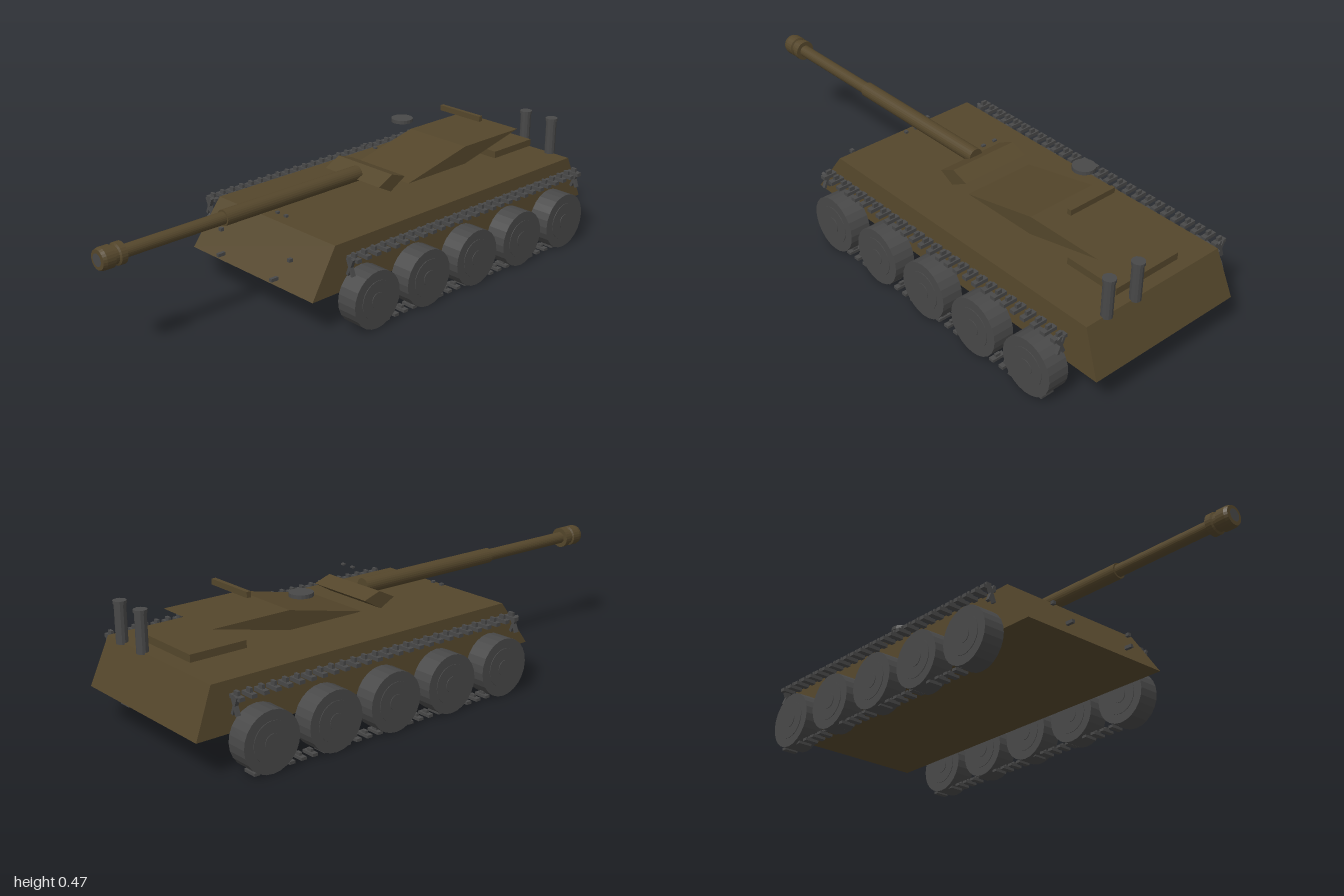
import * as THREE from 'three';

export function createModel() {
  const model = new THREE.Group();
  const paint = new THREE.MeshStandardMaterial({ color: 0x54462b, flatShading: true });
  paint.name = 'olive brown paint';
  const steel = new THREE.MeshStandardMaterial({ color: 0x484848, flatShading: true });
  steel.name = 'dark steel';

  const add = (name, geo, mat, x = 0, y = 0, z = 0, parent = model) => {
    const mesh = new THREE.Mesh(geo, mat);
    mesh.name = name;
    mesh.position.set(x, y, z);
    parent.add(mesh);
    return mesh;
  };
  const box = (name, mat, w, h, d, x, y, z, parent) =>
    add(name, new THREE.BoxGeometry(w, h, d), mat, x, y, z, parent);
  // Side profile in (z, y), extruded evenly across x
  const slab = (points, halfWidth) => {
    const shape = new THREE.Shape(points.map(p => new THREE.Vector2(...p)));
    const geo = new THREE.ExtrudeGeometry(shape, { depth: halfWidth * 2, bevelEnabled: false });
    return geo.translate(0, 0, -halfWidth).rotateY(-Math.PI / 2);
  };

  // Hull with sloped ends and slightly tapered sides
  const hull = slab([[0.4, 0.127], [0.287, 0.292], [-0.933, 0.292], [-1, 0.127]], 0.312);
  const pos = hull.attributes.position;
  for (let i = 0; i < pos.count; i++) {
    if (pos.getY(i) > 0.2) pos.setX(i, Math.sign(pos.getX(i)) * 0.299);
  }
  hull.computeVertexNormals();
  add('hull', hull, paint);

  // Turret, mantlet and rear stowage
  add('turret', slab([[-0.22, 0.33], [-0.52, 0.397], [-0.815, 0.397], [-0.52, 0.33]], 0.139), paint);
  add('mantlet', slab([[-0.075, 0.352], [-0.139, 0.384], [-0.204, 0.362], [-0.134, 0.322]], 0.136), paint);
  box('rearStowage', paint, 0.28, 0.026, 0.21, 0, 0.322, -0.795);
  for (const z of [-0.72, -0.765, -0.81]) box('grilleSlat', steel, 0.19, 0.009, 0.008, 0, 0.305, z);

  // Gun barrel with stepped muzzle brake
  const profile = [[0, -0.1], [0.028, -0.1], [0.028, 0.51], [0.022, 0.51], [0.022, 0.91],
    [0.038, 0.91], [0.038, 0.932], [0.031, 0.936], [0.031, 0.95], [0.038, 0.953],
    [0.038, 0.985], [0.034, 0.998], [0, 0.998]];
  const barrel = new THREE.LatheGeometry(profile.map(p => new THREE.Vector2(...p)), 24);
  add('gunBarrel', barrel.rotateX(Math.PI / 2), paint, 0, 0.363, 0);
  add('bore', new THREE.CircleGeometry(0.022, 20), steel, 0, 0.363, 1);

  // Roof fittings
  add('hatch', new THREE.CylinderGeometry(0.041, 0.041, 0.013, 20), steel, -0.143, 0.444, -0.475);
  box('roofRail', paint, 0.197, 0.02, 0.016, 0, 0.465, -0.647);
  for (const s of [-1, 1]) {
    box('sight', steel, 0.014, 0.006, 0.01, s * 0.025, 0.449, -0.165);
    box('deckPeriscope', steel, 0.012, 0.008, 0.012, s * 0.022, 0.305, 0.255);
    box('upperLamp', steel, 0.013, 0.012, 0.014, s * 0.179, 0.23, 0.378);
    box('towHook', steel, 0.012, 0.012, 0.03, s * 0.139, 0.159, 0.415);
  }

  // Exhaust stacks
  for (const x of [0.086, 0.211]) {
    add('exhaust', new THREE.CylinderGeometry(0.02, 0.02, 0.14, 12), steel, x, 0.357, -0.931);
    add('exhaustCap', new THREE.CylinderGeometry(0.023, 0.023, 0.011, 12), steel, x, 0.427, -0.931);
  }

  // Running gear, built for each side
  for (const s of [-1, 1]) {
    const gear = new THREE.Group();
    gear.name = s > 0 ? 'leftRunningGear' : 'rightRunningGear';
    model.add(gear);

    const disc = (name, r, width, x, z) => add(name,
      new THREE.CylinderGeometry(r, r, width, 24).rotateZ(Math.PI / 2), steel, s * x, 0.104, z, gear);
    for (let i = 0; i < 5; i++) {
      const z = 0.195 - i * 0.2465;
      disc('wheel', 0.104, 0.08, 0.365, z);
      disc('wheelDisc', 0.07, 0.084, 0.365, z);
      disc('hub', 0.028, 0.088, 0.365, z);
    }

    // Upper and lower runs of separate track links
    const count = 27;
    for (let i = 0; i < count; i++) {
      const z = 0.265 - i * 1.15 / (count - 1);
      box('upperLink', steel, 0.053, 0.013, 0.02, s * 0.365, 0.26, z, gear);
      box('upperGuide', steel, 0.02, 0.018, 0.01, s * 0.365, 0.272, z, gear);
      if (i > 1 && i < count - 1) {
        box('lowerLink', steel, 0.053, 0.01, 0.02, s * 0.365, 0.008, z, gear);
        box('lowerGuide', steel, 0.02, 0.01, 0.01, s * 0.365, 0.018, z, gear);
      }
    }
    // Crossed links hanging at both ends
    for (const z of [0.28, -0.892]) {
      for (const t of [-1, 1]) {
        const bar = box('endLink', steel, 0.01, 0.065, 0.014, s * 0.365, 0.236, z, gear);
        bar.rotation.z = t * 0.38;
      }
    }
  }
  return model;
}
